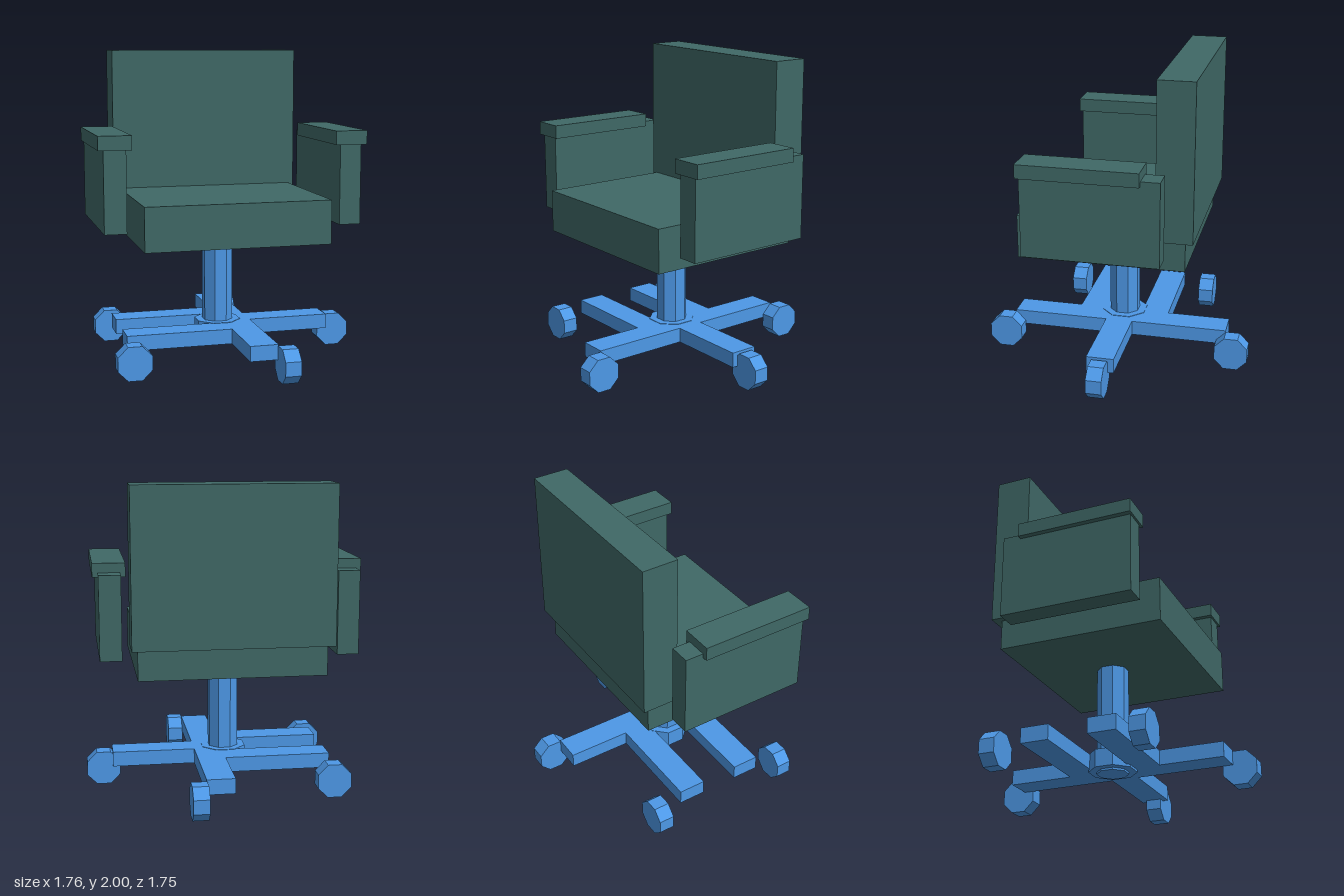
import * as THREE from 'three';

const fabric = new THREE.MeshStandardMaterial({ color: 0x3f6866, flatShading: true });
const metal = new THREE.MeshStandardMaterial({ color: 0x4d98e6, flatShading: true });

// Box given by its extents along each axis
function box(name, material, [x0, x1], [y0, y1], [z0, z1]) {
  const mesh = new THREE.Mesh(new THREE.BoxGeometry(x1 - x0, y1 - y0, z1 - z0), material);
  mesh.position.set((x0 + x1) / 2, (y0 + y1) / 2, (z0 + z1) / 2);
  mesh.name = name;
  return mesh;
}

// Upright eight-sided prism with flat sides facing the axes
function octagon(name, halfWidth, height) {
  const r = halfWidth / Math.cos(Math.PI / 8);
  const geometry = new THREE.CylinderGeometry(r, r, height, 8, 1, false, Math.PI / 8);
  const mesh = new THREE.Mesh(geometry, metal);
  mesh.name = name;
  return mesh;
}

export function createModel() {
  const chair = new THREE.Group();
  chair.name = 'officeChair';

  // Seat and backrest
  chair.add(box('seat', fabric, [-0.622, 0.566], [0.8, 1.08], [-0.505, 0.558]));
  chair.add(box('backrest', fabric, [-0.662, 0.604], [0.995, 2], [-0.557, -0.325]));

  // Arm panels with their pads, mirrored about the seat centre
  const middle = -0.029;
  for (const [side, s] of [['left', 1], ['right', -1]]) {
    const span = (a, b) => [middle + s * a, middle + s * b].sort((p, q) => p - q);
    const arm = new THREE.Group();
    arm.name = side + 'Arm';
    arm.add(box('armPanel', fabric, span(0.682, 0.821), [0.905, 1.443], [-0.39, 0.465]));
    arm.add(box('armPad', fabric, span(0.648, 0.855), [1.415, 1.503], [-0.272, 0.478]));
    chair.add(arm);
  }

  // Column and hub
  const column = octagon('column', 0.094, 0.71);
  column.position.set(-0.03, 0.455, 0);
  const hub = octagon('hub', 0.142, 0.115);
  hub.position.set(-0.03, 0.1705, 0);
  chair.add(column, hub);

  // Base: a cross beam, one leg to the left and two to the right
  const legY = [0.128, 0.225];
  chair.add(box('crossLeg', metal, [-0.008, 0.172], legY, [-0.721, 0.719]));
  chair.add(box('leftLeg', metal, [0.172, 0.71], legY, [-0.09, 0.088]));
  for (const z of [-0.215, 0.213]) {
    chair.add(box('rightLeg', metal, [-0.692, -0.008], legY, [z - 0.09, z + 0.09]));
  }

  // Casters: x, z, and whether the wheel rolls along x
  const casters = [
    [0.22, -0.768, false], [0.22, 0.762, false],
    [0.77, 0, true], [-0.68, -0.475, true], [-0.68, 0.47, true],
  ];
  for (const [x, z, alongX] of casters) {
    const wheel = octagon('caster', 0.108, 0.102);
    if (alongX) wheel.rotation.x = Math.PI / 2;
    else wheel.rotation.z = Math.PI / 2;
    wheel.position.set(x, 0.108, z);
    chair.add(wheel);
  }
  return chair;
}
